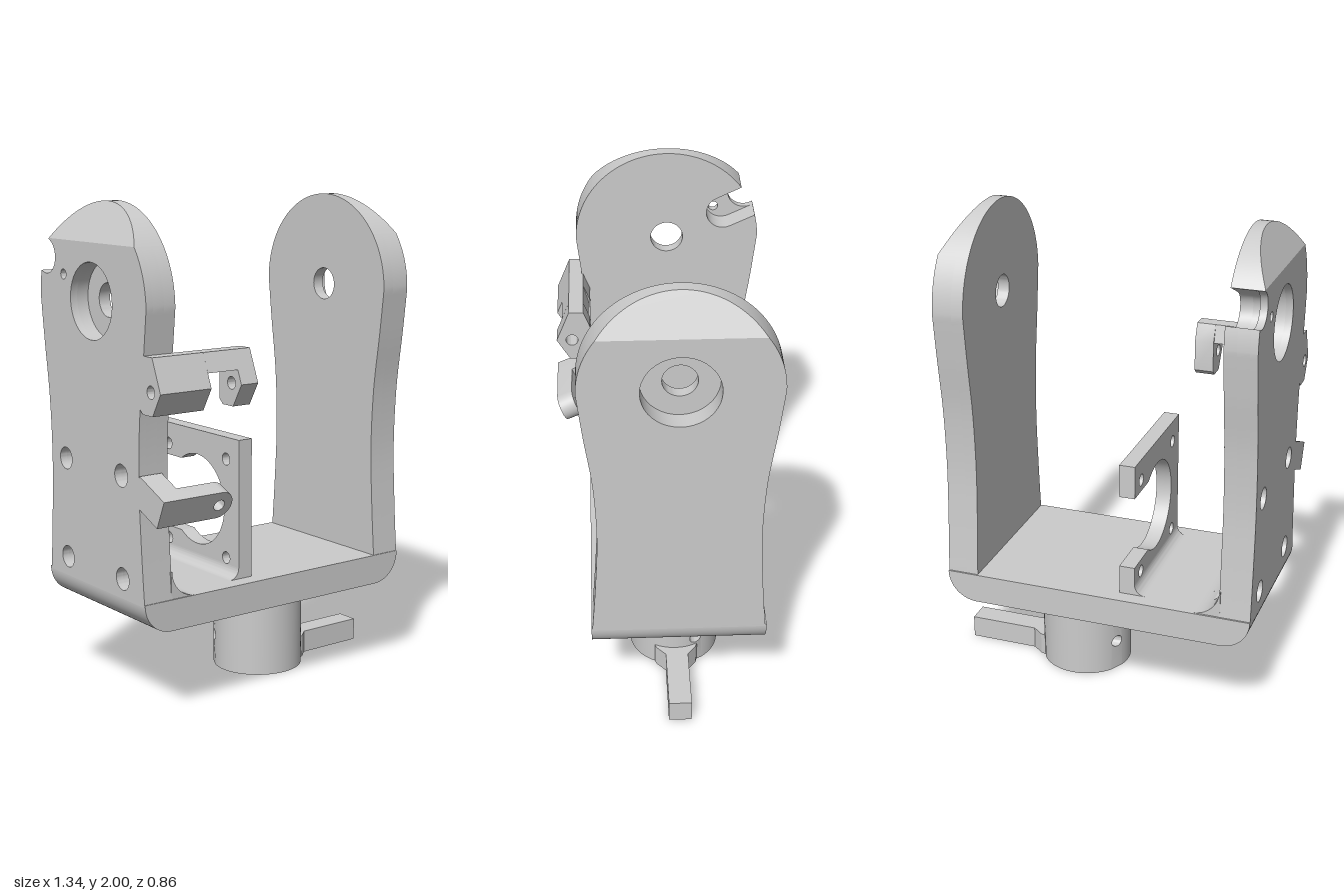
import * as THREE from 'three';
import { toCreasedNormals } from 'three/addons/utils/BufferGeometryUtils.js';

const V = (x, y) => new THREE.Vector2(x, y);
const CZ = -0.05, AXIS = 1.62, HEAD = 0.38, CROWN = 0.225; // arm centre, pivot height, head radius, crown start

export function createModel() {
  const group = new THREE.Group();
  const grey = new THREE.MeshStandardMaterial({ color: 0xcccccc });
  const open = new THREE.MeshStandardMaterial({ color: 0xcccccc, side: THREE.DoubleSide });

  function add(name, geo, parent = group, mat = grey) {
    const mesh = new THREE.Mesh(geo, mat);
    mesh.name = name;
    parent.add(mesh);
    return mesh;
  }
  function shapeOf(points, holes = []) {
    const shape = new THREE.Shape(points);
    for (const [x, y, r] of holes) shape.holes.push(new THREE.Path().absarc(x, y, r, 0, Math.PI * 2, true));
    return shape;
  }
  const extrude = (shape, depth) =>
    new THREE.ExtrudeGeometry(shape, { depth, bevelEnabled: false, curveSegments: 20 });
  const smooth = (g) => toCreasedNormals(g, 0.5);
  // shape drawn in (-z, y), extruded from x0 to x1
  const alongX = (shape, x0, x1) => extrude(shape, x1 - x0).rotateY(Math.PI / 2).translate(x0, 0, 0);
  // shape drawn in (x, y), extruded from z0 to z1
  const alongZ = (shape, z0, z1) => extrude(shape, z1 - z0).translate(0, 0, z0);
  function arc(cx, cy, r, a0, a1, n = 16) {
    return Array.from({ length: n + 1 }, (_, i) => {
      const a = a0 + (a1 - a0) * i / n;
      return V(cx + r * Math.cos(a), cy + r * Math.sin(a));
    });
  }

  // ---- Arms: waisted side plates with round heads
  const side = new THREE.SplineCurve([
    V(0.347, 0.48), V(0.33, 0.7), V(0.318, 0.95), V(0.328, 1.2), V(0.358, 1.43), V(0.38, AXIS),
  ]).getPoints(30);
  const top = Math.asin(CROWN / HEAD);
  const toArm = (pts) => pts.map((p) => V(p.x - CZ, p.y));

  function armOutline(notch) {
    const back = [...side, ...arc(0, AXIS, HEAD, 0, top)];
    const front = back.map((p) => V(-p.x, p.y)).reverse();
    if (notch) {
      // radial slot in the rear edge of the head, with a round inner end
      const t = 25 * Math.PI / 180, w = 0.07, lip = Math.asin(w / HEAD);
      const end = arc(Math.cos(t) * notch, AXIS + Math.sin(t) * notch, w, t + Math.PI * 1.5, t + Math.PI / 2);
      back.splice(side.length, back.length,
        ...arc(0, AXIS, HEAD, 0.02, t - lip, 6), ...end, ...arc(0, AXIS, HEAD, t + lip, top, 2));
    }
    return toArm([...back, ...front]);
  }
  function crown(name, x0, x1, dir) {
    // head segment above the plates, its outer face sloping inward
    const g = alongX(shapeOf(toArm(arc(0, AXIS, HEAD, top, Math.PI - top, 40))), x0, x1);
    const p = g.attributes.position, outer = dir > 0 ? x1 : x0;
    for (let i = 0; i < p.count; i++) {
      if (Math.abs(p.getX(i) - outer) < 1e-4) {
        p.setX(i, outer - dir * 0.08 * (p.getY(i) - AXIS - CROWN) / (HEAD - CROWN));
      }
    }
    add(name, smooth(g));
  }
  const bore = [-CZ, AXIS, 0.067], counterbore = [-CZ, AXIS, 0.15];
  const bolts = [];
  for (const z of [0.145, -0.26]) for (const y of [0.56, 0.97]) bolts.push([-z, y, 0.045]);

  const layers = [
    ['leftArmInner', 0.5, 0.55, 0, [bore]],
    ['leftArmOuter', 0.55, 0.63, 0, [counterbore]],
    ['rightArmInner', -0.59, -0.54, 0.26, [bore, ...bolts]],
    ['rightArmMiddle', -0.64, -0.59, 0.26, [counterbore, ...bolts]],
    ['rightArmOuter', -0.67, -0.64, 0.365, [counterbore, ...bolts, [0.25, 1.71, 0.02]]],
  ];
  for (const [name, x0, x1, notch, holes] of layers) {
    add(name, smooth(alongX(shapeOf(armOutline(notch), holes), x0, x1)));
  }
  crown('leftArmCrown', 0.5, 0.63, 1);
  crown('rightArmCrown', -0.67, -0.54, -1);

  // ---- Base plate with rounded lower corners
  const R = 0.122;
  add('basePlate', smooth(alongZ(shapeOf([
    V(0.63, 0.49), V(-0.67, 0.49),
    ...arc(-0.67 + R, 0.365 + R, R, Math.PI, Math.PI * 1.5),
    ...arc(0.63 - R, 0.365 + R, R, Math.PI * 1.5, Math.PI * 2),
  ]), -0.403, 0.3)));

  // concave fillets; cut low where the bolt holes pass
  function fillet(name, x, r, dir, z0, z1, cut = 0) {
    const curve = arc(r, 0.49 + r, r, Math.PI + cut, Math.PI * 1.5);
    const pts = [V(-0.005, 0.485), V(-0.005, curve[0].y), ...curve, V(r, 0.485)];
    add(name, smooth(alongZ(shapeOf(pts.map((p) => V(x + dir * p.x, p.y))), z0, z1)));
  }
  [[-0.395, -0.305], [-0.215, 0.1], [0.19, 0.295]].forEach(([a, b]) => fillet('armFillet', -0.54, 0.11, 1, a, b));
  [[-0.305, -0.215], [0.1, 0.19]].forEach(([a, b]) => fillet('armFilletLow', -0.54, 0.11, 1, a, b, 0.95));

  // ---- Motor plate: C shape open to the back
  const my = 0.767, mz = 0.057, mr = 0.19, gap = 0.155, a = Math.asin(gap / mr);
  add('motorPlate', smooth(alongX(shapeOf([
    V(0.34, 0.485), V(0.34, my - gap),
    ...arc(mz, my, mr, -a, a - Math.PI * 2, 40),
    V(0.34, my + gap), V(0.34, 1.06), V(-0.23, 1.06), V(-0.23, 0.485),
  ], bolts.map(([z, y]) => [z, y, 0.025])), -0.17, -0.105)));
  fillet('motorPlateFillet', -0.17, 0.045, -1, -0.34, 0.23);

  // ---- Hollow post with two cross holes
  const post = new THREE.Group();
  post.name = 'post';
  post.position.set(0.145, 0, -0.053);
  group.add(post);
  const rOut = 0.19, rIn = 0.137, zA = -0.06, zB = -0.115, yTop = 0.32;
  for (const r of [rOut, rIn]) {
    const p0 = Math.acos(zA / r), p1 = Math.acos(zB / r), wall = [V(r, 0), V(r, yTop)];
    add('postWall', new THREE.LatheGeometry(wall, 48, -p0, 2 * p0), post, open);
    add('postWallRear', new THREE.LatheGeometry(wall, 16, p1, 2 * (Math.PI - p1)), post, open);
  }
  for (const s of [1, -1]) {
    const g = alongX(shapeOf([V(-zA, 0), V(-zB, 0), V(-zB, yTop), V(-zA, yTop)],
      [[0.087, 0.13, 0.025], [0.087, 0.29, 0.025]]), 0, 1);
    const p = g.attributes.position;
    for (let i = 0; i < p.count; i++) {
      const r = (p.getX(i) > 0.5) === (s > 0) ? rOut : rIn;
      p.setX(i, s * Math.sqrt(r * r - p.getZ(i) ** 2));
    }
    add('postHolePanel', smooth(g), post, open);
  }
  add('postFlare', new THREE.LatheGeometry(
    [V(rOut, yTop - 0.01), ...arc(rOut + 0.055, 0.312, 0.055, Math.PI, Math.PI / 2, 10)], 64), post, open);
  add('postBoreTop', new THREE.LatheGeometry([V(rIn, yTop), V(rIn, 0.367)], 64), post, open);
  add('postRim', new THREE.RingGeometry(rIn, rOut, 64).rotateX(Math.PI / 2), post);

  // ---- Lever at the foot of the post, recessed underneath
  const lever = (hollow) => {
    const s = shapeOf([V(0.305, -0.037), V(0.33, -0.03), V(0.375, 0.01), V(0.667, 0.01),
      V(0.667, 0.105), V(0.375, 0.105), V(0.33, 0.14), V(0.305, 0.148)]);
    if (hollow) s.holes.push(new THREE.Path([V(0.38, 0.035), V(0.38, 0.08), V(0.64, 0.08), V(0.64, 0.035)]));
    return s;
  };
  add('leverTop', extrude(lever(false), 0.03).rotateX(-Math.PI / 2).translate(0, 0.065, 0));
  add('leverRim', extrude(lever(true), 0.065).rotateX(-Math.PI / 2));

  // ---- Upper hinge clip: two lugs joined by a bridge
  const lug = [V(-0.365, 1.45), V(-0.418, 1.32), V(-0.365, 1.23), V(-0.3, 1.23),
    V(-0.278, 1.25), V(-0.278, 1.38), V(-0.305, 1.45)];
  const pin = [[-0.355, 1.32, 0.025]];
  add('hingeLugOuter', smooth(alongX(shapeOf(lug, pin), -0.67, -0.44)));
  add('hingeLugInner', smooth(alongX(shapeOf(lug, pin), -0.3, -0.22)));
  add('hingeBridge', alongX(shapeOf([V(-0.365, 1.45), V(-0.396, 1.375), V(-0.285, 1.375), V(-0.305, 1.45)]), -0.44, -0.3));

  // ---- Lower latch: tilted L-shaped hook
  const latch = new THREE.Group();
  latch.name = 'latch';
  latch.position.set(0, 0.865, 0.41);
  latch.rotation.x = 0.41;
  group.add(latch);
  add('latchBar', smooth(alongZ(shapeOf(
    [V(-0.67, 0.06), V(-0.67, -0.06), ...arc(-0.4, 0, 0.06, -Math.PI / 2, Math.PI / 2)],
    [[-0.4, 0, 0.024]]), -0.07, 0)), latch);
  add('latchRoot', new THREE.BoxGeometry(0.1, 0.12, 0.11).translate(-0.62, 0, -0.12), latch);

  return group;
}
